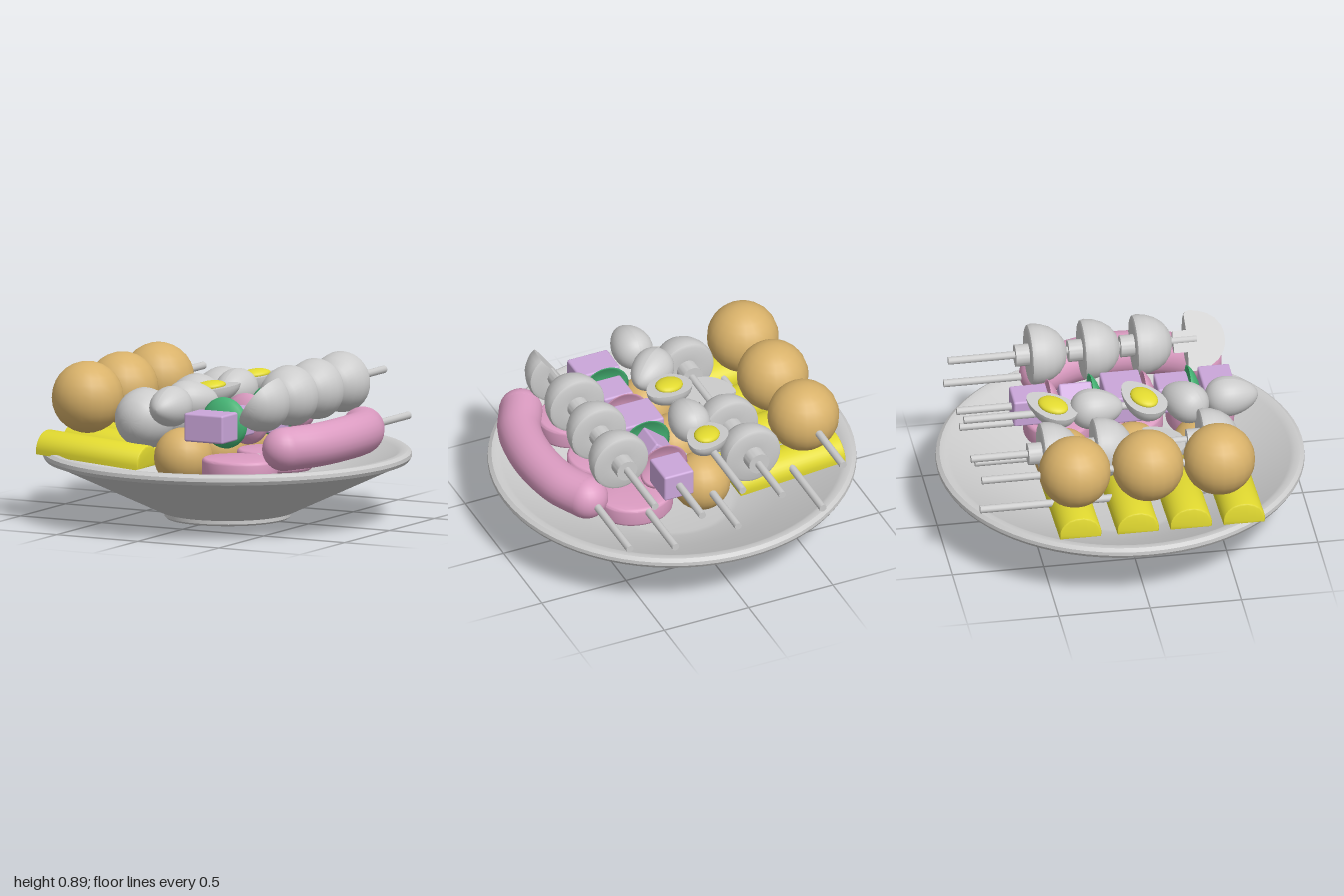
import * as THREE from 'three';
import { mergeGeometries, toCreasedNormals } from 'three/addons/utils/BufferGeometryUtils.js';
import { RoundedBoxGeometry } from 'three/addons/geometries/RoundedBoxGeometry.js';

const mat = (color) => new THREE.MeshStandardMaterial({ color });
const grey = mat(0xcccccc);
const tan = mat(0xd9b26a);
const yellow = mat(0xe2da30);
const pink = mat(0xdc9cc2);
const lilac = mat(0xcba6da);
const green = mat(0x45b575);
const open = (m) => { const c = m.clone(); c.side = THREE.DoubleSide; return c; };
const v2 = (pts) => pts.map(([x, y]) => new THREE.Vector2(x, y));

export function createModel() {
  const model = new THREE.Group();
  const add = (name, geo, material, x = 0, y = 0, z = 0, rx = 0, ry = 0, rz = 0) => {
    const mesh = new THREE.Mesh(geo, material);
    mesh.name = name;
    mesh.position.set(x, y, z);
    mesh.rotation.set(rx, ry, rz);
    model.add(mesh);
    return mesh;
  };

  // Plate: foot, flared wall, rounded rim and sunken floor
  const plate = v2([[0, 0], [0.33, 0], [0.34, 0.01], [0.34, 0.03], [0.36, 0.035], [0.95, 0.31],
    [0.985, 0.32], [0.997, 0.34], [0.995, 0.36], [0.975, 0.375], [0.945, 0.375], [0.92, 0.36],
    [0.6, 0.19], [0.36, 0.08], [0.32, 0.07], [0, 0.07]]);
  add('plate', toCreasedNormals(new THREE.LatheGeometry(plate, 72), 0.6), grey);

  // Skewer sticks: x, y, back end, front end
  [[-0.625, 0.67, -0.86, 0.5], [-0.51, 0.41, -0.85, 0.55], [-0.265, 0.58, -0.86, 0.5],
    [-0.03, 0.68, -0.86, 0.6], [-0.03, 0.4, -0.8, 0.45], [0.21, 0.585, -0.86, 0.55],
    [0.35, 0.39, -0.82, 0.55], [0.49, 0.73, -0.86, 0.5], [0.64, 0.49, -0.86, -0.25]]
    .forEach(([x, y, a, b]) => add('skewerStick', new THREE.CylinderGeometry(0.021, 0.021, b - a, 12),
      grey, x, y, (a + b) / 2, Math.PI / 2));

  // Fried balls on the upper skewer and the lower one
  for (const z of [-0.35, 0.05, 0.44]) {
    add('friedBall', new THREE.SphereGeometry(0.195, 20, 14), tan, -0.62, 0.67, z);
    add('smallFriedBall', new THREE.SphereGeometry(0.16, 20, 14), tan, -0.03, 0.385, z * 0.95 + 0.02);
  }

  // Rolled strips lying across the left side: domed section, extruded
  const strip = new THREE.Shape();
  strip.moveTo(-0.105, -0.045);
  strip.lineTo(0.105, -0.045);
  strip.bezierCurveTo(0.115, 0.01, 0.07, 0.06, 0, 0.06);
  strip.bezierCurveTo(-0.07, 0.06, -0.115, 0.01, -0.105, -0.045);
  const stripGeo = new THREE.ExtrudeGeometry(strip, {
    depth: 0.61, bevelEnabled: true, bevelSize: 0.008, bevelThickness: 0.01, bevelSegments: 2, curveSegments: 10,
  });
  stripGeo.translate(0, 0, -0.305).rotateY(Math.PI / 2);
  const stripSmooth = toCreasedNormals(stripGeo, 0.7);
  for (const z of [-0.35, -0.035, 0.255, 0.545]) {
    add('rolledStrip', stripSmooth, yellow, -0.505, 0.402, z, 0, 0, -0.07);
  }

  // Mushrooms: stem at the back, domed cap facing the front
  const capProfile = v2([[0, -0.07], [0.06, -0.07], [0.06, 0.005], [0.145, 0], [0.16, 0.008], [0.166, 0.03],
    [0.16, 0.075], [0.142, 0.125], [0.112, 0.168], [0.07, 0.198], [0.035, 0.209], [0, 0.212]]);
  const mushroom = toCreasedNormals(new THREE.LatheGeometry(capProfile, 36), 0.8).rotateX(Math.PI / 2);
  const cutOutline = [...capProfile, ...capProfile.slice(1, -1).reverse().map((p) => new THREE.Vector2(-p.x, p.y))];
  const cutFace = new THREE.ShapeGeometry(new THREE.Shape(cutOutline)).rotateY(-Math.PI / 2).toNonIndexed();
  const halfMushroom = mergeGeometries([
    toCreasedNormals(new THREE.LatheGeometry(capProfile, 18, 0, Math.PI), 0.8), cutFace,
  ]).rotateX(Math.PI / 2);
  for (const z of [-0.48, -0.19, 0.39]) add('mushroom', mushroom, grey, -0.268, 0.58, z);
  add('halfMushroom', halfMushroom, grey, -0.268, 0.58, 0.1, 0, 0, -Math.PI / 2);
  for (const z of [-0.425, -0.135, 0.15]) add('mushroom', mushroom, grey, 0.49, 0.725, z);
  add('halfMushroom', halfMushroom, grey, 0.475, 0.73, 0.44, 0, 0, -0.63);

  // Eggs: a sphere stretched along x and tapered towards its tip
  const eggShape = (geo, length, radius) => {
    const p = geo.attributes.position;
    for (let i = 0; i < p.count; i++) {
      const t = p.getX(i);
      const k = radius * (1 - 0.22 * t);
      p.setXYZ(i, t * length, p.getY(i) * k, p.getZ(i) * k);
    }
    geo.computeVertexNormals();
    return geo;
  };
  const egg = eggShape(new THREE.SphereGeometry(1, 28, 20).rotateZ(-Math.PI / 2), 0.145, 0.108);
  add('egg', egg, grey, -0.03, 0.68, -0.135, 0, -Math.PI / 2);
  add('egg', egg, grey, -0.03, 0.68, 0.345, 0, 0.65);
  add('egg', egg, grey, -0.025, 0.68, 0.605, 0, -Math.PI / 2);
  const halfEgg = mergeGeometries([
    eggShape(new THREE.SphereGeometry(1, 28, 10, 0, Math.PI * 2, Math.PI / 2, Math.PI / 2), 0.155, 0.105),
    eggShape(new THREE.CircleGeometry(1, 28).rotateX(-Math.PI / 2), 0.155, 0.105),
  ]);
  const yolk = new THREE.SphereGeometry(1, 24, 14).scale(0.088, 0.03, 0.068);
  for (const [z, turn] of [[-0.38, 0.8], [0.12, 0.5]]) {
    const half = new THREE.Group();
    half.name = 'halfEgg';
    const white = new THREE.Mesh(halfEgg, grey);
    white.name = 'eggWhite';
    const centre = new THREE.Mesh(yolk, yellow);
    centre.name = 'yolk';
    centre.position.set(-0.01, 0.005, 0);
    half.add(white, centre);
    half.position.set(-0.03, 0.725, z);
    half.rotation.set(0.1, turn, 0.16, 'ZYX');
    model.add(half);
  }

  // Meat cubes: width, height, depth, z, roll about the skewer
  [[0.175, 0.155, 0.2, -0.46, 0], [0.165, 0.155, 0.18, -0.21, 0.7], [0.28, 0.16, 0.215, 0.05, 0],
    [0.175, 0.155, 0.18, 0.32, 0], [0.24, 0.155, 0.175, 0.563, 0]]
    .forEach(([w, h, d, z, roll]) => add('meatCube', new RoundedBoxGeometry(w, h, d, 2, 0.012),
      lilac, 0.21, 0.583, z, 0, 0, roll));

  // Vegetable slices between the cubes: thin shallow cups bulging forward
  const cup = new THREE.LatheGeometry(v2([[0, 0.05], [0.05, 0.044], [0.095, 0.027], [0.125, 0.008], [0.14, -0.01],
    [0.125, -0.004], [0.095, 0.014], [0.05, 0.03], [0, 0.035]].reverse()), 32).rotateX(Math.PI / 2);
  for (const z of [-0.115, 0.42]) add('pepperSlice', cup, open(green), 0.21, 0.585, z);
  for (const z of [-0.345, 0.175]) add('onionSlice', cup, open(pink), 0.21, 0.575, z);

  // Flat rounded slices lying on the plate
  const slice = new THREE.Shape();
  slice.absellipse(0, 0, 0.19, 0.165, 0, Math.PI * 2);
  const sliceGeo = toCreasedNormals(new THREE.ExtrudeGeometry(slice, {
    depth: 0.07, bevelSize: 0.02, bevelThickness: 0.02, bevelSegments: 4, curveSegments: 20,
  }).translate(0, 0, -0.035).rotateX(Math.PI / 2), 0.7);
  for (const z of [-0.285, 0.105, 0.495]) add('roundSlice', sliceGeo, pink, 0.35, 0.36, z);

  // Curved sausage with rounded ends
  const path = new THREE.CatmullRomCurve3([[0.655, 0.49, -0.325], [0.74, 0.495, -0.15], [0.775, 0.5, 0.1],
    [0.74, 0.495, 0.36], [0.65, 0.49, 0.545]].map((p) => new THREE.Vector3(...p)));
  add('sausage', new THREE.TubeGeometry(path, 40, 0.118, 24), pink);
  for (const t of [0, 1]) {
    const end = path.getPointAt(t);
    add('sausageEnd', new THREE.SphereGeometry(0.118, 24, 16), pink, end.x, end.y, end.z);
  }

  return model;
}
